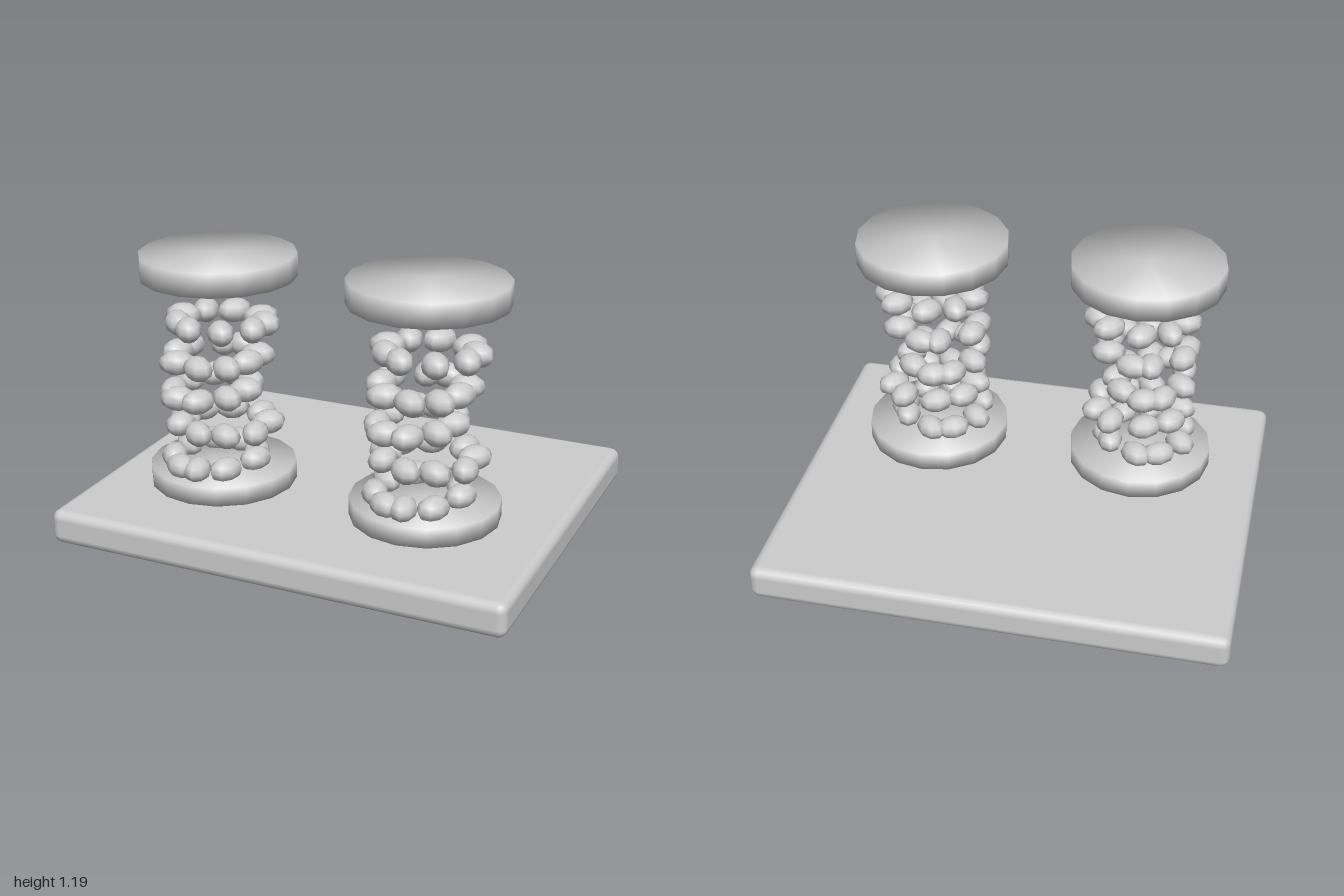
import * as THREE from 'three';
import { RoundedBoxGeometry } from 'three/addons/geometries/RoundedBoxGeometry.js';

// Sixteen-sided disc whose normals blend smoothly over the rim
function softDisc(radius, height) {
  const g = new THREE.CylinderGeometry(radius, radius, height, 16);
  const p = g.attributes.position, n = g.attributes.normal;
  for (let i = 0; i < p.count; i++) {
    n.setXYZ(i, 0.75 * p.getX(i) / radius, 0.66 * Math.sign(p.getY(i)), 0.75 * p.getZ(i) / radius);
  }
  return g;
}

// Small seeded generator, returns -1..1
function seeded(seed) {
  return () => {
    seed = (seed * 16807) % 2147483647;
    return (seed / 2147483647) * 2 - 1;
  };
}

// Extents of each bead ring around the column axis: minX, maxX, minZ, maxZ
const RINGS = [
  [-0.265, 0.23, -0.22, 0.29],
  [-0.25, 0.285, -0.22, 0.255],
  [-0.25, 0.19, -0.23, 0.285],
  [-0.26, 0.245, -0.21, 0.28],
  [-0.245, 0.29, -0.2, 0.26],
];
const BEADS_PER_RING = 9;

export function createModel() {
  const model = new THREE.Group();
  model.name = 'twinColumns';
  const grey = new THREE.MeshStandardMaterial({ color: 0xcccccc });
  grey.name = 'stone grey';

  const add = (parent, name, geometry, x, y, z) => {
    const mesh = new THREE.Mesh(geometry, grey);
    mesh.name = name;
    mesh.position.set(x, y, z);
    parent.add(mesh);
    return mesh;
  };

  // Base slab with softened edges
  add(model, 'baseSlab', new RoundedBoxGeometry(2, 0.15, 1.64, 2, 0.04), 0, 0.075, 0);

  const footDisc = softDisc(0.313, 0.08);
  const topDisc = softDisc(0.328, 0.1);
  const bead = new THREE.SphereGeometry(1, 8, 6);

  // Two identical columns
  for (const side of [-1, 1]) {
    const column = new THREE.Group();
    column.name = side > 0 ? 'leftColumn' : 'rightColumn';
    column.position.set(side * 0.465, 0, 0.274);
    model.add(column);

    add(column, 'footDisc', footDisc, 0, 0.225, 0);
    add(column, 'topDisc', topDisc, 0, 1.14, 0);

    // Stacked rings of flattened beads
    const rand = seeded(4271);
    RINGS.forEach(([x0, x1, z0, z1], r) => {
      const ring = new THREE.Group();
      ring.name = 'beadRing';
      ring.position.set((x0 + x1) / 2, 0.3 + r * 0.15, (z0 + z1) / 2);
      column.add(ring);
      const rx = (x1 - x0) / 2 - 0.07, rz = (z1 - z0) / 2 - 0.065;
      for (let i = 0; i < BEADS_PER_RING; i++) {
        const a = (i + r * 0.4 + rand() * 0.2) * Math.PI * 2 / BEADS_PER_RING;
        const k = 0.96 + rand() * 0.06;
        const m = add(ring, 'bead', bead, Math.cos(a) * rx * k, 0, Math.sin(a) * rz * k);
        m.scale.set(0.076, 0.052, 0.056);
        m.rotation.y = rand() * Math.PI;
      }
    });
  }
  return model;
}
